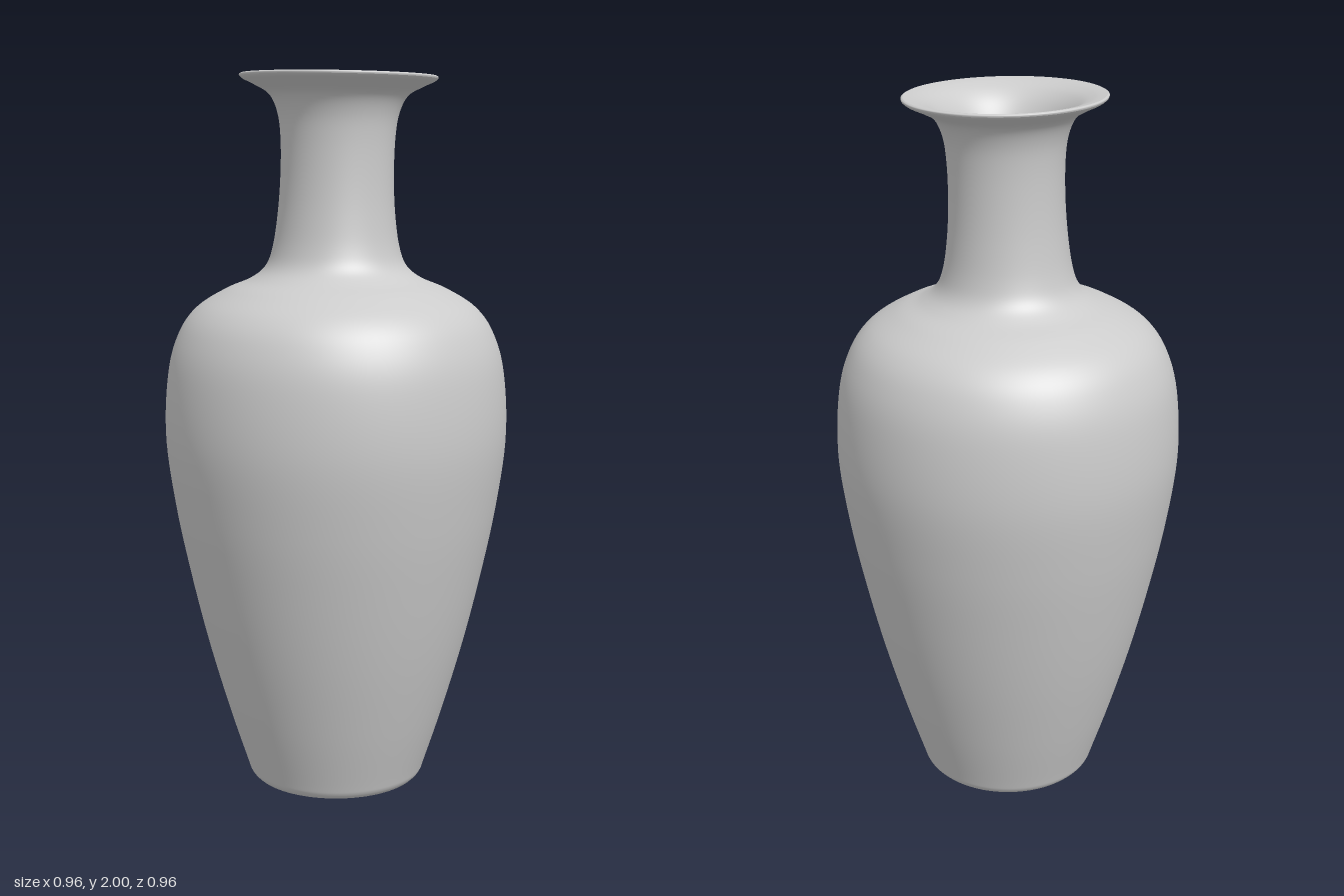
import * as THREE from 'three';

const SEGMENTS = 96;

// Lathe a smooth curve through [radius, height] points
function lathe(name, points, samples, material) {
  const curve = new THREE.SplineCurve(points.map(([r, y]) => new THREE.Vector2(r, y)));
  const profile = curve.getPoints(samples);
  profile.forEach((p) => { p.x = Math.max(p.x, 0); });
  const geometry = new THREE.LatheGeometry(profile, SEGMENTS);
  leanNeck(geometry);
  const mesh = new THREE.Mesh(geometry, material);
  mesh.name = name;
  return mesh;
}

// The neck drifts slightly towards +x and the mouth dips on that side
function leanNeck(geometry) {
  const pos = geometry.attributes.position;
  for (let i = 0; i < pos.count; i++) {
    const y = pos.getY(i);
    const drift = THREE.MathUtils.smoothstep(y, 1.5, 2);
    const dip = THREE.MathUtils.smoothstep(y, 1.8, 2);
    pos.setY(i, y - 0.018 * pos.getX(i) * dip);
    pos.setX(i, pos.getX(i) + 0.008 * drift);
  }
}

export function createModel() {
  const group = new THREE.Group();
  group.name = 'vase';
  const material = new THREE.MeshStandardMaterial({ color: 0xcccccc, side: THREE.DoubleSide });

  // Flat foot
  group.add(lathe('foot', [[0, 0], [0.12, 0], [0.237, 0]], 4, material));

  // Outer wall: rounded foot edge, tapering body, shoulder, neck and flared lip
  group.add(lathe('outerWall', [
    [0.237, 0], [0.25, 0.015], [0.262, 0.05], [0.31, 0.2], [0.367, 0.4],
    [0.415, 0.6], [0.455, 0.8], [0.48, 1.0], [0.471, 1.18], [0.44, 1.29],
    [0.39, 1.36], [0.31, 1.41], [0.24, 1.44], [0.197, 1.475], [0.176, 1.53],
    [0.163, 1.62], [0.157, 1.72], [0.158, 1.82], [0.167, 1.89], [0.19, 1.94],
    [0.23, 1.965], [0.262, 1.98], [0.272, 1.988],
  ], 140, material));

  // Thin rim edge
  group.add(lathe('rim', [[0.272, 1.988], [0.273, 1.993], [0.268, 1.996]], 6, material));

  // Funnel mouth, narrow throat and hollow interior
  group.add(lathe('innerWall', [
    [0.268, 1.996], [0.235, 1.989], [0.2, 1.973], [0.167, 1.94], [0.142, 1.89],
    [0.13, 1.82], [0.127, 1.72], [0.132, 1.62], [0.145, 1.52], [0.167, 1.455],
    [0.22, 1.41], [0.3, 1.375], [0.365, 1.33], [0.41, 1.27], [0.44, 1.17],
    [0.448, 1.0], [0.424, 0.8], [0.384, 0.6], [0.335, 0.4], [0.278, 0.2],
    [0.235, 0.07], [0.2, 0.045], [0.1, 0.04], [0, 0.04],
  ], 140, material));

  return group;
}
